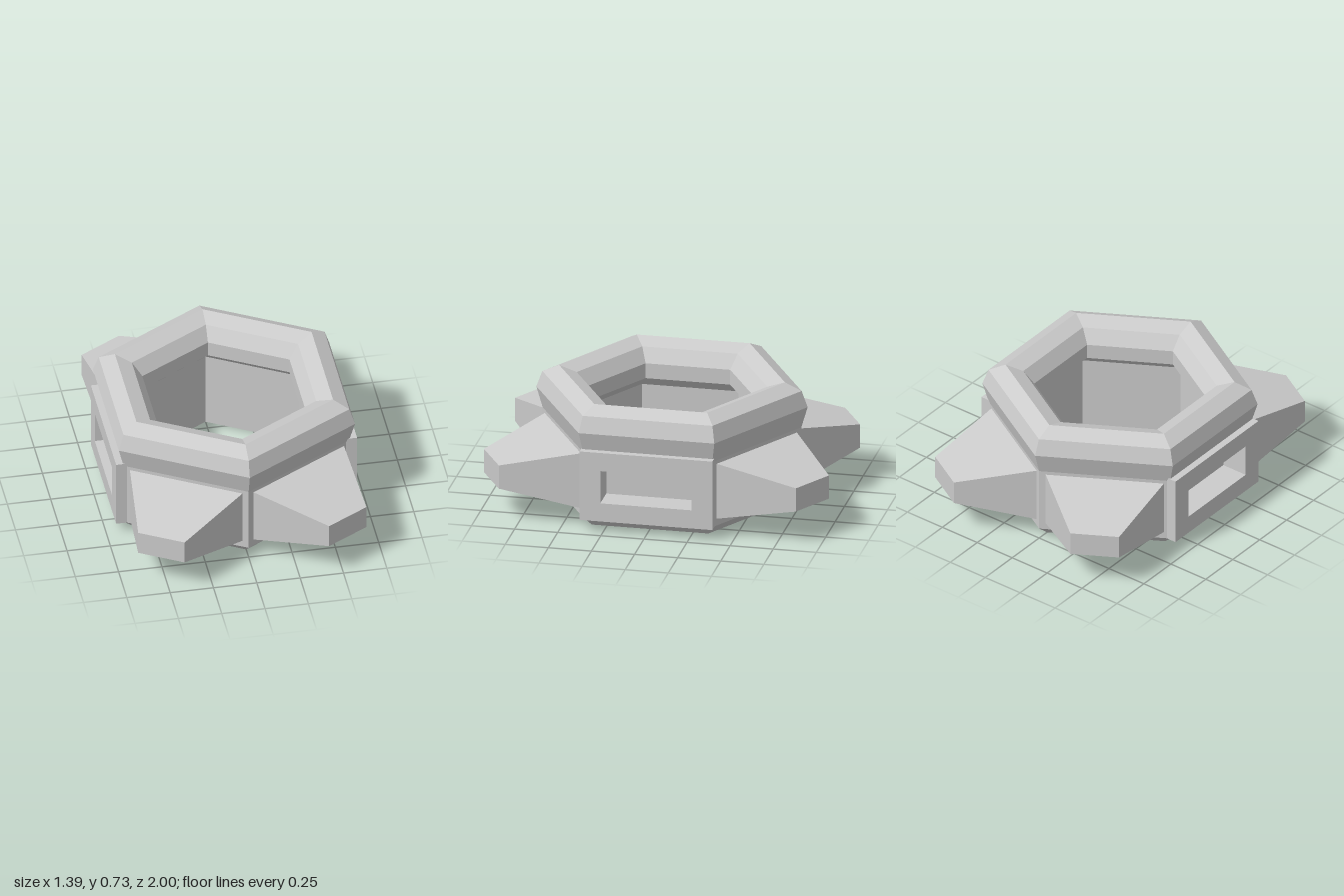
import * as THREE from 'three';

export function createModel() {
  const model = new THREE.Group();
  const material = new THREE.MeshStandardMaterial({ color: 0xcccccc, flatShading: true });
  const add = (parent, name, geometry) => {
    const mesh = new THREE.Mesh(geometry, material);
    mesh.name = name;
    parent.add(mesh);
    return mesh;
  };

  // Ring cross-section (corner radius, height): from the top of the outer wall
  // over the flared rim, down the inside and back to the foot of the wall
  const section = [
    [0.75, 0.46], [0.787, 0.585], [0.752, 0.68], [0.655, 0.725],
    [0.553, 0.69], [0.49, 0.61], [0.49, 0.52], [0.56, 0.46],
    [0.56, 0], [0.676, 0], [0.75, 0.065],
  ].map(([r, y]) => new THREE.Vector2(r, y));

  // Six straight sides; the two facing sideways leave the wall open for a panel
  const ring = new THREE.Group();
  ring.name = 'hexagonalRing';
  model.add(ring);
  const step = Math.PI / 3;
  for (let k = 0; k < 6; k++) {
    const hasPanel = k === 1 || k === 4;
    const points = hasPanel ? section : [...section, section[0]];
    add(ring, 'ringSide', new THREE.LatheGeometry(points, 1, k * step, step));
  }

  // Raised side panels, each with a blind rectangular slot
  const rectangle = (Type, w, y0, y1) => new Type([
    new THREE.Vector2(-w, y0), new THREE.Vector2(w, y0),
    new THREE.Vector2(w, y1), new THREE.Vector2(-w, y1),
  ]);
  const face = rectangle(THREE.Shape, 0.385, 0.065, 0.48);
  face.holes.push(rectangle(THREE.Path, 0.265, 0.175, 0.37));
  const frameGeometry = new THREE.ExtrudeGeometry(face, { depth: 0.165, bevelEnabled: false });
  for (const side of [1, -1]) {
    const panel = new THREE.Group();
    panel.name = side > 0 ? 'leftPanel' : 'rightPanel';
    panel.rotation.y = side * Math.PI / 2;
    model.add(panel);
    add(panel, 'panelFrame', frameGeometry).position.z = 0.53;
    add(panel, 'slotFloor', new THREE.BoxGeometry(0.57, 0.23, 0.02)).position.set(0, 0.2725, 0.525);
  }

  // Tapered prongs on the four diagonal sides
  const prongGeometry = new THREE.BoxGeometry(0.68, 0.335, 0.43);
  const p = prongGeometry.attributes.position;
  for (let i = 0; i < p.count; i++) {
    if (p.getZ(i) > 0) p.setXY(i, p.getX(i) * 0.41, p.getY(i) * 0.42);
  }
  prongGeometry.computeVertexNormals();
  for (const [name, angle] of [
    ['frontLeftProng', 30], ['backLeftProng', 150],
    ['backRightProng', 210], ['frontRightProng', 330],
  ]) {
    const a = THREE.MathUtils.degToRad(angle);
    const prong = add(model, name, prongGeometry);
    prong.rotation.y = a;
    prong.position.set(Math.sin(a) * 0.86, 0.2725, Math.cos(a) * 0.86);
  }

  return model;
}
